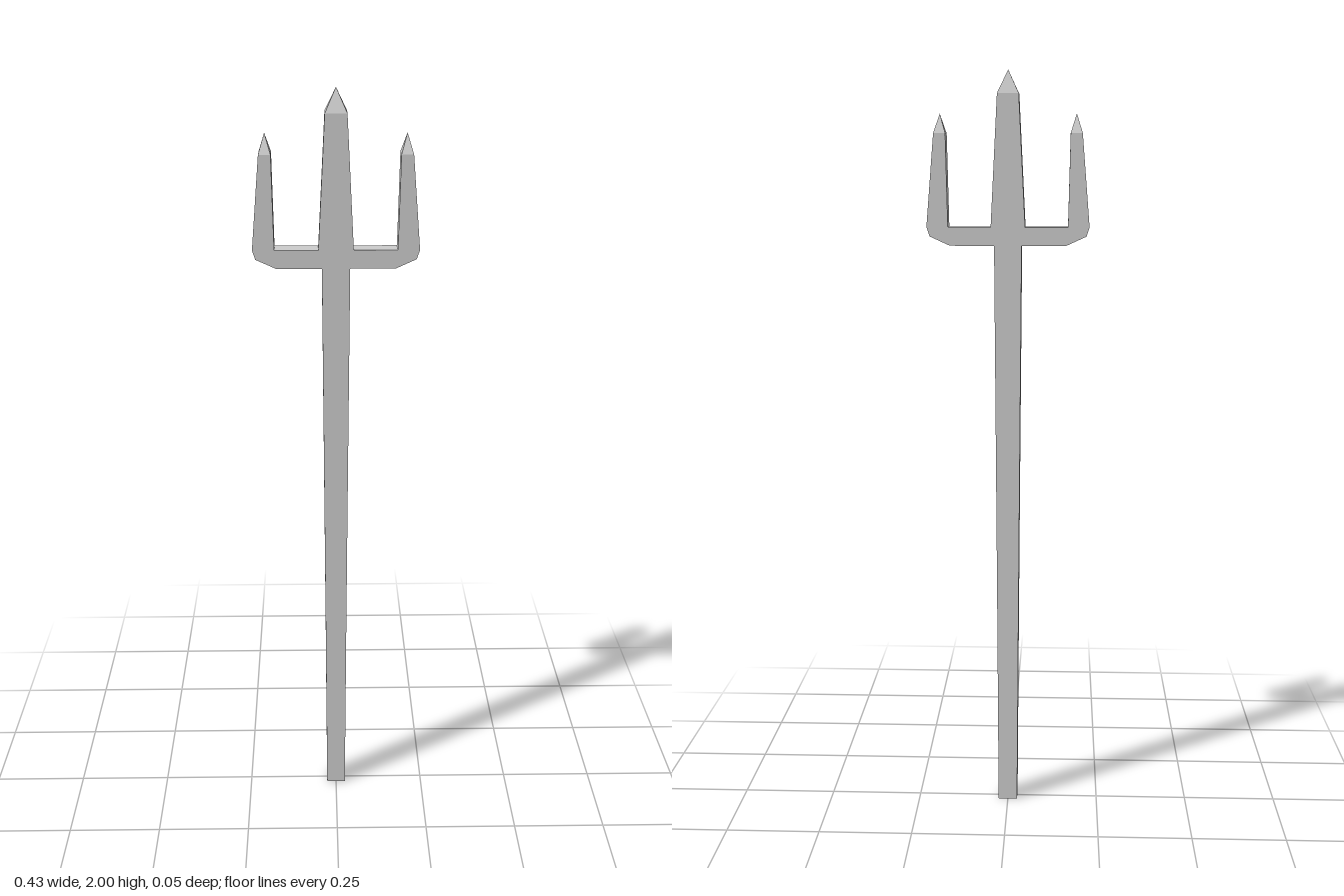
import * as THREE from 'three';

const DEPTH = 0.052;
const material = new THREE.MeshStandardMaterial({ color: 0xcccccc, flatShading: true });

// Flat silhouette given depth, centred on z = 0
function slab(name, points) {
  const shape = new THREE.Shape(points.map(([x, y]) => new THREE.Vector2(x, y)));
  const geometry = new THREE.ExtrudeGeometry(shape, { depth: DEPTH, bevelEnabled: false });
  geometry.translate(0, 0, -DEPTH / 2);
  const mesh = new THREE.Mesh(geometry, material);
  mesh.name = name;
  return mesh;
}

// Four-sided pyramid point sitting on a prong
function tip(name, x, y, width, height) {
  const geometry = new THREE.ConeGeometry(Math.SQRT1_2, height, 4, 1, true);
  geometry.rotateY(Math.PI / 4);
  geometry.scale(width, 1, DEPTH);
  geometry.translate(x, y + height / 2, 0);
  const mesh = new THREE.Mesh(geometry, material);
  mesh.name = name;
  return mesh;
}

// Right half of an outline, closed by its mirror image
const mirrored = (half) => [...half, ...half.map(([x, y]) => [-x, y]).reverse()];

export function createModel() {
  const model = new THREE.Group();
  model.name = 'trident';

  // Shaft, widening slightly in steps towards the fork
  model.add(slab('shaft', mirrored([
    [0.026, 0], [0.029, 0.53], [0.032, 0.98], [0.036, 1.552],
  ])));

  // Fork: crossbar with chamfered corners, two side prongs and the centre prong
  model.add(slab('fork', mirrored([
    [0.036, 1.552], [0.152, 1.552], [0.205, 1.576], [0.213, 1.6],
    [0.193, 1.84], [0.162, 1.84], [0.157, 1.6],
    [0.045, 1.6], [0.028, 1.94],
  ])));

  // Pointed tips
  model.add(tip('centreTip', 0, 1.94, 0.056, 0.06));
  model.add(tip('leftTip', 0.1775, 1.84, 0.031, 0.05));
  model.add(tip('rightTip', -0.1775, 1.84, 0.031, 0.05));

  return model;
}
